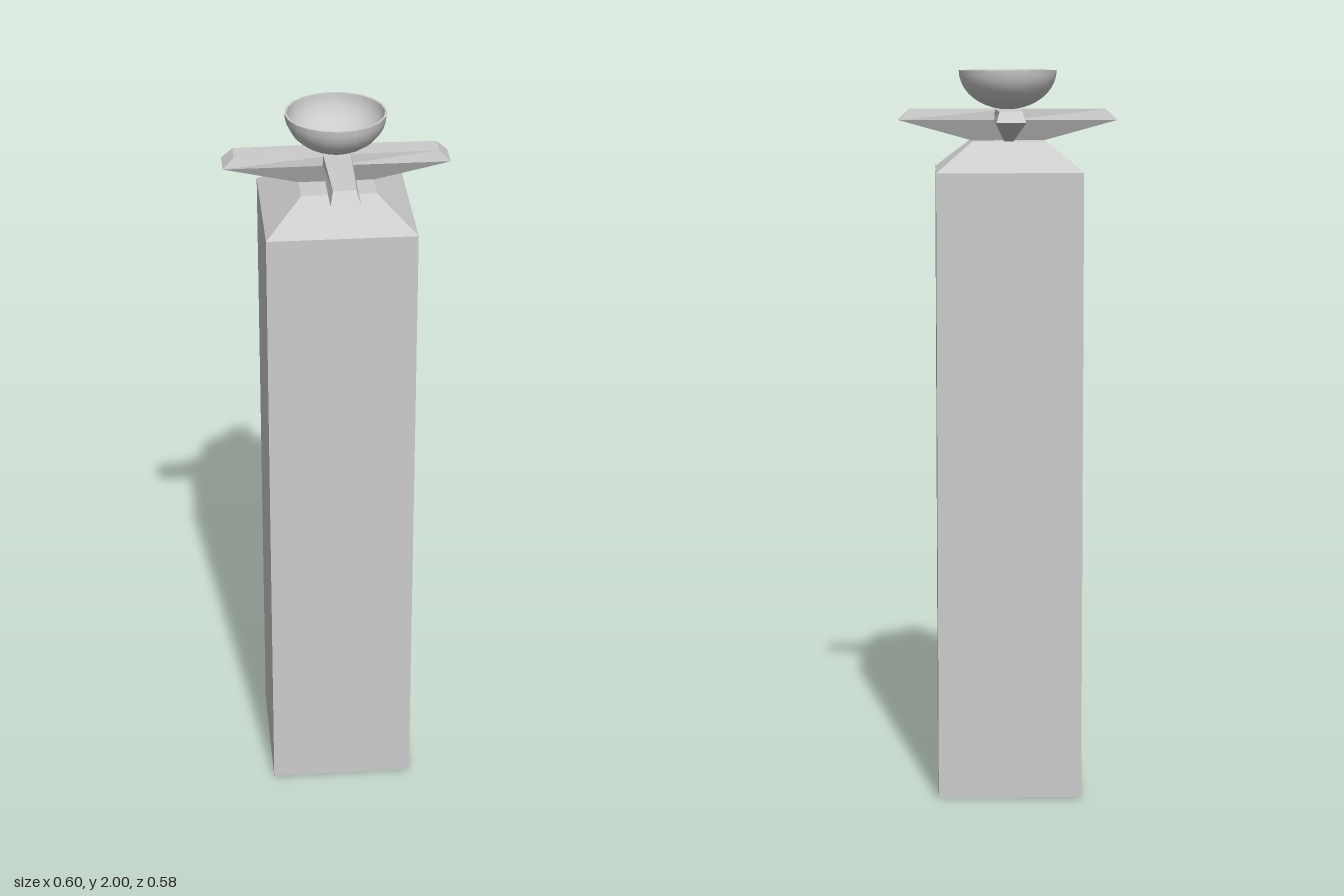
import * as THREE from 'three';

const material = new THREE.MeshStandardMaterial({
  color: 0xcccccc, flatShading: true, side: THREE.DoubleSide });
const smooth = new THREE.MeshStandardMaterial({ color: 0xcccccc, side: THREE.DoubleSide });

// Joins horizontal rings of [x, z] corners, listed bottom to top, into a faceted solid
function stackRings(levels, capBottom) {
  const n = levels[0].ring.length;
  const positions = levels.flatMap(({ y, ring }) => ring.flatMap(([x, z]) => [x, y, z]));
  const index = [];
  for (let l = 0; l < levels.length - 1; l++) {
    for (let i = 0; i < n; i++) {
      const a = l * n + i, b = l * n + (i + 1) % n;
      index.push(a, b, b + n, a, b + n, a + n);
    }
  }
  const top = (levels.length - 1) * n;
  for (let i = 1; i < n - 1; i++) {
    index.push(top, top + i, top + i + 1);
    if (capBottom) index.push(0, i + 1, i);
  }
  const geometry = new THREE.BufferGeometry();
  geometry.setAttribute('position', new THREE.Float32BufferAttribute(positions, 3));
  geometry.setIndex(index);
  const flat = geometry.toNonIndexed();
  flat.computeVertexNormals();
  return flat;
}

// Rectangle whose long sides may bulge at the middle (counter-clockwise from above)
const barRing = (length, end, middle = end) => [
  [-length, end], [0, middle], [length, end],
  [length, -end], [0, -middle], [-length, -end]];
const squareRing = (r) => [[-r, r], [r, r], [r, -r], [-r, -r]];

export function createModel() {
  const group = new THREE.Group();
  const add = (name, geometry, mat = material) => {
    const mesh = new THREE.Mesh(geometry, mat);
    mesh.name = name;
    group.add(mesh);
    return mesh;
  };

  // Square pillar with chamfered shoulders, open underneath
  add('pillar', stackRings([
    { y: 0, ring: squareRing(0.198) },
    { y: 1.73, ring: squareRing(0.198) },
    { y: 1.81, ring: squareRing(0.099) },
  ], false));

  // Two crossed bevelled bars
  const bar = (length) => stackRings([
    { y: 1.81, ring: barRing(0.1, 0.012) },
    { y: 1.866, ring: barRing(length, 0.039) },
    { y: 1.895, ring: barRing(length - 0.03, 0.03, 0.037) },
  ], true);
  add('sideBar', bar(0.299));
  add('frontBar', bar(0.29)).rotation.y = Math.PI / 2;

  // Round bowl with a thin flat rim
  const arc = (radius, depth) => Array.from({ length: 11 }, (_, i) => {
    const t = (i / 10) * Math.PI / 2;
    return new THREE.Vector2(radius * Math.sin(t), 2 - depth * Math.cos(t));
  });
  const outer = arc(0.134, 0.106), inner = arc(0.128, 0.099);
  add('bowlOutside', new THREE.LatheGeometry(outer, 20), smooth);
  add('bowlInside', new THREE.LatheGeometry(inner.reverse(), 20), smooth);
  add('bowlRim', new THREE.LatheGeometry([outer[10], inner[0]], 20), smooth);

  return group;
}
